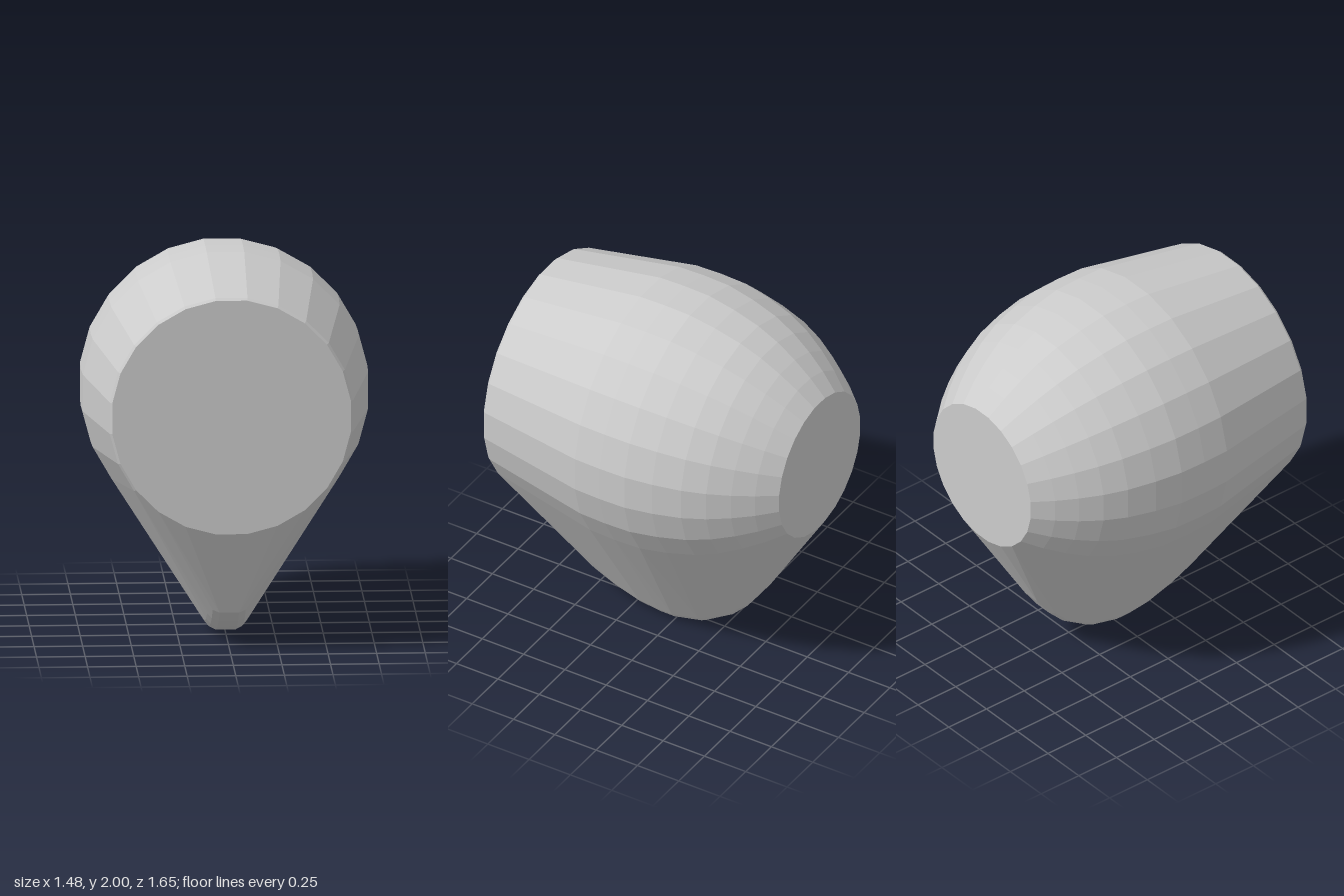
import * as THREE from 'three';
import { ConvexGeometry } from 'three/addons/geometries/ConvexGeometry.js';

const AXIS_Y = 1.265;
const SIDES = 24;

// Barrel profile along z: [z, radius]
const BARREL = [
  [0.825, 0.615], [0.81, 0.627], [0.2, 0.735], [0.05, 0.739], [-0.1, 0.735],
  [-0.25, 0.708], [-0.4, 0.667], [-0.52, 0.615], [-0.63, 0.55],
  [-0.73, 0.478], [-0.825, 0.395],
];

// Lower edge of the keel, front to back: [z, y]
const KEEL = [
  [0.6, 0.19], [0.5, 0.125], [0.37, 0.065], [0.21, 0.015], [0.08, 0], [0, 0],
  [-0.17, 0.04], [-0.33, 0.14], [-0.42, 0.23], [-0.5, 0.34],
];

// Rings of the barrel, with a flat segment at top and sides
function barrelPoints() {
  const points = [];
  for (const [z, radius] of BARREL) {
    const r = radius * 1.007;
    for (let i = 0; i < SIDES; i++) {
      const a = ((i + 0.5) / SIDES) * Math.PI * 2;
      points.push(new THREE.Vector3(Math.cos(a) * r, AXIS_Y + Math.sin(a) * r, z));
    }
  }
  return points;
}

// Rounded cross-sections swept along the keel edge, offset toward its middle
function keelPoints() {
  const points = [];
  const middle = new THREE.Vector2(0.06, 0.65);
  for (const [z, y] of KEEL) {
    const inward = middle.clone().sub(new THREE.Vector2(z, y)).normalize();
    for (const [halfWidth, depth] of [[0.05, 0], [0.085, 0.018], [0.108, 0.045]]) {
      for (const side of [-1, 1]) {
        points.push(new THREE.Vector3(
          side * halfWidth, y + inward.y * depth, z + inward.x * depth));
      }
    }
  }
  return points;
}

export function createModel() {
  const group = new THREE.Group();
  group.name = 'taperedShell';

  // One convex skin stretched over the barrel and the keel
  const shell = new THREE.Mesh(
    new ConvexGeometry([...barrelPoints(), ...keelPoints()]),
    new THREE.MeshStandardMaterial({ color: 0xcccccc, flatShading: true })
  );
  shell.name = 'shell';
  group.add(shell);
  return group;
}
